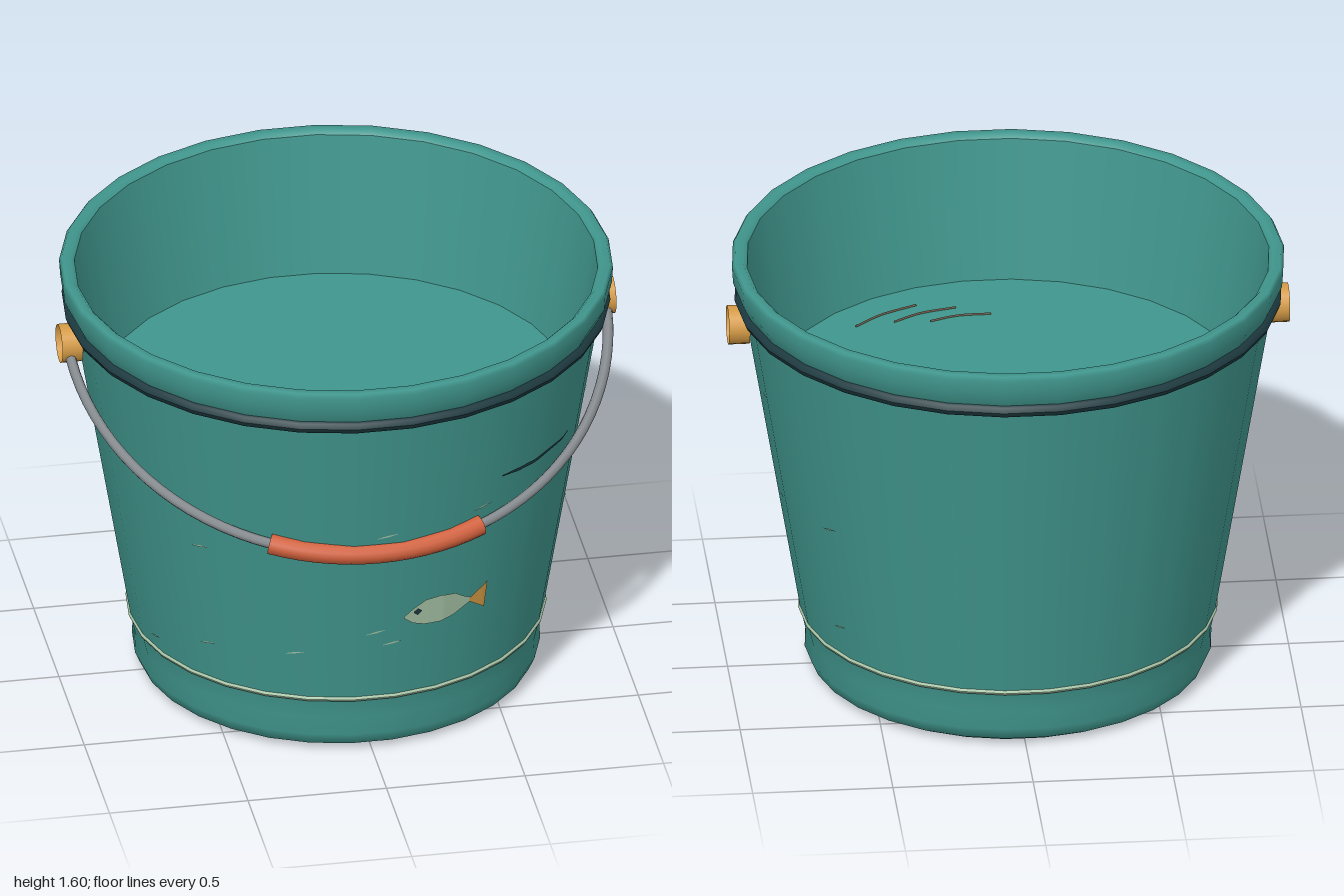
import * as THREE from 'three';

const SIDES = 30, STEP = Math.PI * 2 / SIDES;
const mat = (name, color, side = THREE.FrontSide) => {
  const m = new THREE.MeshStandardMaterial({ color, side });
  m.name = name;
  return m;
};

// Outer wall radius at a height, and a point lying on the faceted wall
const wallRadius = y => 0.74 + (y - 0.22) * (0.945 - 0.74) / (1.45 - 0.22);
function onWall(phi, y, lift) {
  const local = phi - Math.round(phi / STEP) * STEP;
  const r = wallRadius(y) * Math.cos(STEP / 2) / Math.cos(local) + lift;
  return [r * Math.sin(phi), y, r * Math.cos(phi)];
}

// Thin painted patch on the wall from columns of [angle, low y, high y]
function patch(columns, lift) {
  const pos = [], index = [], SUB = 5;
  for (let i = 0; i < columns.length - 1; i++) {
    for (let s = i ? 1 : 0; s <= SUB; s++) {
      const [phi, lo, hi] = columns[i].map((v, k) => v + (columns[i + 1][k] - v) * s / SUB);
      pos.push(...onWall(phi, lo, lift), ...onWall(phi, hi, lift));
    }
  }
  for (let a = 0; a < pos.length / 3 - 2; a += 2) index.push(a, a + 2, a + 1, a + 1, a + 2, a + 3);
  const g = new THREE.BufferGeometry();
  g.setAttribute('position', new THREE.Float32BufferAttribute(pos, 3));
  g.setIndex(index);
  g.computeVertexNormals();
  return g;
}

// Columns given by x as seen from the front
const fromFront = cols => cols.map(([x, lo, hi]) => [Math.asin(x / wallRadius((lo + hi) / 2)), lo, hi]);

const lathe = pts => new THREE.LatheGeometry(
  pts.map(([r, y]) => new THREE.Vector2(r, y)), SIDES, STEP / 2);

// Ring with a round section, sharing the facets of the wall
function ring(radius, y, tube) {
  const pts = [];
  for (let i = 0; i <= 8; i++) {
    const a = i / 8 * Math.PI * 2;
    pts.push([radius + Math.cos(a) * tube, y + Math.sin(a) * tube]);
  }
  return lathe(pts);
}

// Arc of the bail handle; t runs from one end to the other
class HandleArc extends THREE.Curve {
  constructor(from, to) { super(); this.from = from; this.to = to; }
  getPoint(t, out = new THREE.Vector3()) {
    const a = this.from + (this.to - this.from) * t;
    return out.set(-0.97 * Math.cos(a), 1.36 - 0.485 * Math.sin(a), 0.845 * Math.sin(a));
  }
}

export function createModel() {
  const model = new THREE.Group();
  model.name = 'bucket';
  const both = THREE.DoubleSide;
  const teal = mat('teal', 0x40968d);
  const dark = mat('dark teal', 0x1d3a40, both);
  const cream = mat('pale green', 0xa6c3a5, both);
  const gold = mat('gold', 0xd49a45, both);
  const steel = mat('steel', 0x83888c);
  const orange = mat('orange', 0xd0603c);
  const brown = mat('brown', 0x6b5a4a);
  const add = (name, geometry, material, parent = model) => {
    const m = new THREE.Mesh(geometry, material);
    m.name = name;
    parent.add(m);
    return m;
  };

  // Shell
  add('foot', lathe([[0.66, 0], [0.705, 0.025], [0.725, 0.07], [0.722, 0.14], [0.74, 0.22]]), teal);
  add('outerWall', lathe([[0.74, 0.22], [0.945, 1.45]]), teal);
  add('rim', lathe([[0.945, 1.45], [0.958, 1.48], [0.98, 1.525], [0.984, 1.585], [0.974, 1.6],
    [0.945, 1.6], [0.93, 1.585]]), teal);
  add('innerWall', lathe([[0.93, 1.585], [0.84, 1.07]]), teal);
  const disc = r => new THREE.CircleGeometry(r, SIDES, STEP / 2 + Math.PI / 2);
  const floor = add('innerFloor', disc(0.84), teal);
  floor.rotation.x = -Math.PI / 2;
  floor.position.y = 1.07;
  const base = add('base', disc(0.66), dark);
  base.rotation.x = Math.PI / 2;

  // Bands around the wall
  add('rimBand', ring(0.95, 1.455, 0.025), dark);
  add('lowerStripe', ring(0.737, 0.225, 0.011), cream);

  // Open ring ears
  for (const side of [-1, 1]) {
    const ear = add(side > 0 ? 'leftEar' : 'rightEar',
      new THREE.CylinderGeometry(0.07, 0.07, 0.075, 16, 1, true), gold);
    ear.rotation.z = Math.PI / 2;
    ear.position.set(side * 0.9625, 1.36, 0);
  }

  // Handle wire and grip with end caps
  const capEnds = (name, curve, radius, sides, material) => [0, 1].forEach(t => {
    const cap = add(name, new THREE.CircleGeometry(radius, sides), material);
    const p = curve.getPoint(t);
    cap.position.copy(p);
    cap.lookAt(p.clone().addScaledVector(curve.getTangent(t), t ? 1 : -1));
  });
  const wire = new HandleArc(0, Math.PI);
  add('handleWire', new THREE.TubeGeometry(wire, 48, 0.019, 8), steel);
  capEnds('handleWireEnd', wire, 0.019, 8, steel);
  const half = Math.asin(0.38 / 0.97);
  const gripArc = new HandleArc(Math.PI / 2 - half, Math.PI / 2 + half);
  add('handleGrip', new THREE.TubeGeometry(gripArc, 14, 0.038, 12), orange);
  capEnds('handleGripEnd', gripArc, 0.038, 12, orange);

  // Painted fish
  const fish = new THREE.Group();
  fish.name = 'fish';
  model.add(fish);
  add('fishBody', patch(fromFront([[0.1, 0.568, 0.575], [0.135, 0.54, 0.605], [0.18, 0.525, 0.633],
    [0.235, 0.523, 0.64], [0.29, 0.535, 0.63], [0.325, 0.555, 0.605], [0.355, 0.572, 0.588]]), 0.005), cream, fish);
  add('fishTail', patch(fromFront([[0.35, 0.572, 0.588], [0.412, 0.525, 0.638]]), 0.006), gold, fish);
  add('fishEye', patch(fromFront([[0.135, 0.588, 0.592], [0.15, 0.575, 0.605], [0.165, 0.588, 0.592]]), 0.009), dark, fish);

  // Dark scuff on the front left of the wall
  add('scuff', patch(fromFront([[0.46, 1.092, 1.097], [0.53, 1.08, 1.094], [0.62, 1.079, 1.093],
    [0.7, 1.083, 1.093], [0.75, 1.09, 1.094]]), 0.006), dark);

  // Pale scratches: front ones by x, side ones by z
  const front = [[0.03, 0.945], [0.39, 0.985], [-0.6, 0.82], [0, 0.517], [0.06, 0.465],
    [-0.28, 0.427], [-0.56, 0.388], [-0.7, 0.29]];
  const sideMarks = [[0.23, 1.12], [-0.17, 1.16], [0.24, 0.69], [0.17, 0.652], [-0.13, 0.74],
    [-0.48, 0.773], [-0.42, 0.353]];
  const scratches = [
    ...front.map(([x, y]) => [Math.asin(x / wallRadius(y)), y]),
    ...sideMarks.map(([z, y]) => [Math.acos(z / wallRadius(y)), y]),
  ];
  for (const [phi, y] of scratches) {
    add('scratch', patch([[phi - 0.042, y - 0.008, y - 0.006], [phi, y - 0.003, y + 0.004],
      [phi + 0.042, y + 0.007, y + 0.009]], 0.004), cream);
  }

  // Curved marks on the inner floor
  const marks = [[0.01, 0.57, 0.13, 0.565, 0.23, 0.53], [0.13, 0.63, 0.26, 0.595, 0.36, 0.535],
    [0.27, 0.66, 0.4, 0.595, 0.5, 0.51]];
  for (const [a, b, c, d, e, f] of marks) {
    const path = new THREE.CatmullRomCurve3([[a, b], [c, d], [e, f]].map(([x, z]) => new THREE.Vector3(x, 1.071, z)));
    add('floorMark', new THREE.TubeGeometry(path, 10, 0.005, 5), brown);
  }
  return model;
}
